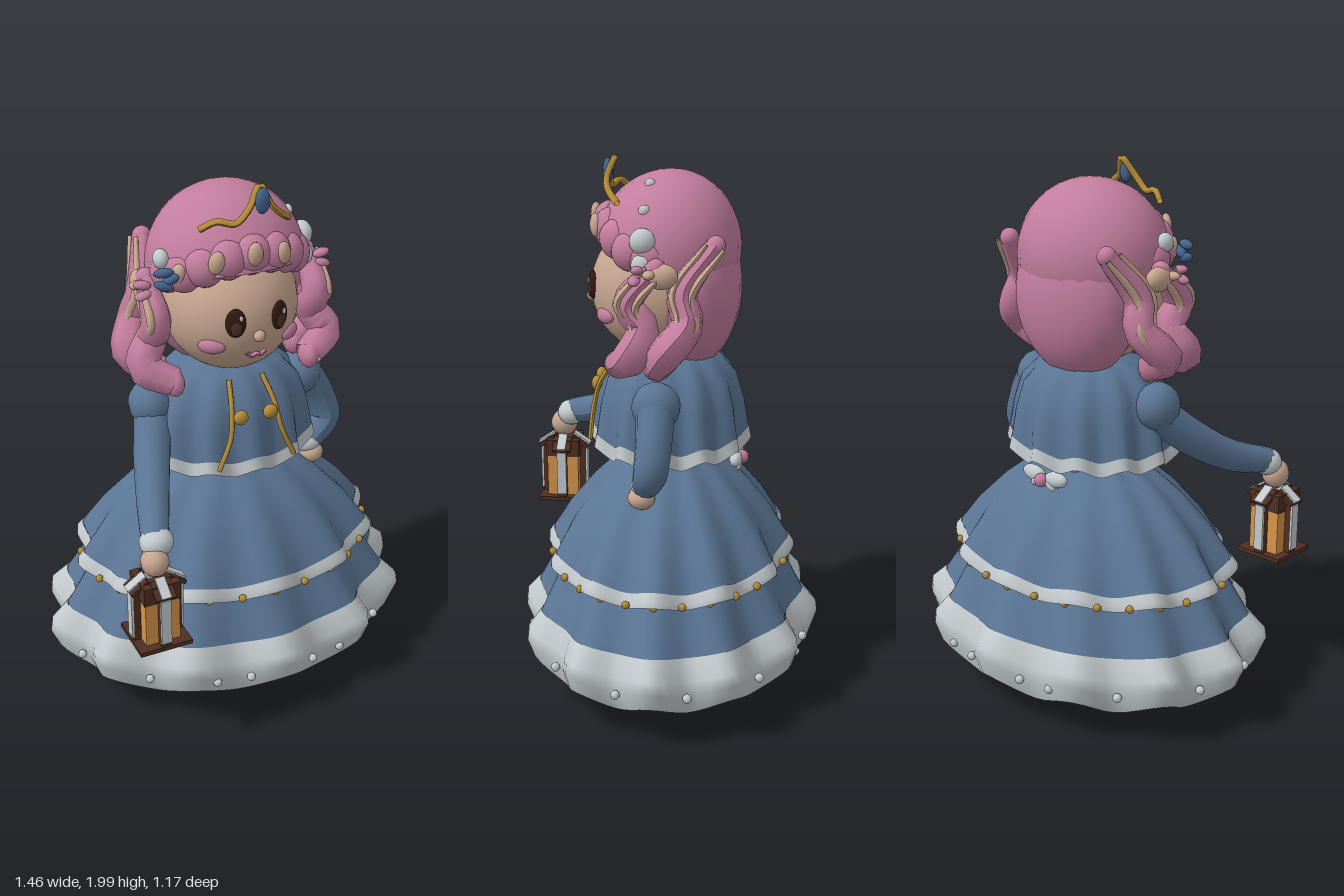
import * as THREE from 'three';

const mat = (name, color) => Object.assign(new THREE.MeshStandardMaterial({ color, side: THREE.DoubleSide }), { name });
const pink = mat('hair pink', 0xc27d9d), blue = mat('dress blue', 0x5a7594), white = mat('trim white', 0xc3cacd);
const gold = mat('gold', 0xb58d38), skin = mat('skin beige', 0xc7a690), brown = mat('lantern brown', 0x4f2f22);
const dark = mat('eye dark', 0x321a13), amber = mat('lantern amber', 0xd6944a), gem = mat('gem blue', 0x44638e);

const V = (p) => new THREE.Vector3(...p);
const DEG = Math.PI / 180;

function add(parent, name, geometry, material, pos = [0, 0, 0], rot = [0, 0, 0]) {
  const m = new THREE.Mesh(geometry, material);
  m.name = name;
  m.position.set(...pos);
  m.rotation.set(...rot);
  parent.add(m);
  return m;
}
function ball(parent, name, material, pos, size, rot, seg = 14) {
  const s = Array.isArray(size) ? size : [size, size, size];
  const m = add(parent, name, new THREE.SphereGeometry(1, seg, Math.max(6, Math.round(seg * 0.7))), material, pos, rot);
  m.scale.set(...s);
  return m;
}
// Tube along points whose thickness follows a list of radii
function limb(parent, name, material, points, radii, sides = 8, steps = 18) {
  const curve = new THREE.CatmullRomCurve3(points.map(V));
  const geo = new THREE.TubeGeometry(curve, steps, 1, sides);
  const pos = geo.attributes.position, v = new THREE.Vector3();
  for (let i = 0; i <= steps; i++) {
    const c = curve.getPointAt(i / steps), f = (i / steps) * (radii.length - 1);
    const k = Math.min(Math.floor(f), radii.length - 2);
    const r = THREE.MathUtils.lerp(radii[k], radii[k + 1], f - k);
    for (let j = 0; j <= sides; j++) {
      const n = i * (sides + 1) + j;
      v.fromBufferAttribute(pos, n).sub(c).multiplyScalar(r).add(c);
      pos.setXYZ(n, v.x, v.y, v.z);
    }
  }
  geo.computeVertexNormals();
  return add(parent, name, geo, material);
}
// Point on rippled cloth: row = [radius, height, radius ripple, height ripple]
function ripplePoint([r, y, amp, lift], a, depth) {
  const w = Math.cos(12 * a);
  return [(r + amp * w) * Math.sin(a), y + lift * w, (r + amp * w) * Math.cos(a) * depth - 0.02];
}
function cloth(parent, name, material, rows, depth, n = 96) {
  const pos = [], idx = [];
  rows.forEach((row, i) => {
    for (let j = 0; j < n; j++) {
      pos.push(...ripplePoint(row, (j / n) * Math.PI * 2, depth));
      if (i === rows.length - 1) continue;
      const a = i * n + j, d = i * n + ((j + 1) % n);
      idx.push(a, a + n, d + n, a, d + n, d);
    }
  });
  const geo = new THREE.BufferGeometry();
  geo.setAttribute('position', new THREE.Float32BufferAttribute(pos, 3));
  geo.setIndex(idx);
  geo.computeVertexNormals();
  return add(parent, name, geo, material);
}
function part(parent, name) {
  const g = new THREE.Group();
  g.name = name;
  parent.add(g);
  return g;
}

function buildDress(root) {
  const g = part(root, 'dress'), D = 0.78;
  cloth(g, 'lowerSkirt', blue, [[0.47, 0.6, 0.015, 0], [0.53, 0.5, 0.018, 0], [0.59, 0.4, 0.022, 0.005], [0.63, 0.33, 0.026, 0.012]], D);
  cloth(g, 'hemRuffle', white, [[0.632, 0.335, 0.026, 0.012], [0.685, 0.27, 0.04, 0.02], [0.692, 0.22, 0.04, 0.028], [0.66, 0.143, 0.04, 0.03]], D);
  cloth(g, 'upperSkirt', blue, [[0.2, 0.9, 0.004, 0], [0.275, 0.85, 0.008, 0], [0.36, 0.785, 0.012, 0], [0.475, 0.67, 0.018, 0], [0.555, 0.545, 0.024, 0.018]], D);
  cloth(g, 'upperRuffle', white, [[0.557, 0.548, 0.024, 0.018], [0.577, 0.52, 0.028, 0.018], [0.58, 0.5, 0.028, 0.018]], D);
  add(g, 'bodice', new THREE.CylinderGeometry(0.19, 0.2, 0.36, 20), blue, [0, 1.05, -0.02]).scale.z = 0.85;
  cloth(g, 'cape', blue, [[0.1, 1.3, 0, 0], [0.2, 1.278, 0.004, 0], [0.275, 1.2, 0.01, 0], [0.305, 1.1, 0.014, 0], [0.322, 0.98, 0.018, 0.015]], 0.86);
  cloth(g, 'capeTrim', white, [[0.324, 0.982, 0.018, 0.015], [0.332, 0.932, 0.02, 0.018]], 0.86);

  // Beads on even rings, half sunk where the ruffles swell
  for (let i = 0; i < 28; i++)
    ball(g, 'goldBead', gold, ripplePoint([0.575, 0.505, 0, 0], (i / 28) * Math.PI * 2, D), 0.015, undefined, 8);
  for (const d of [76, 45, 22, 11])
    for (const a of [d, -d, 180 - d, d - 180])
      ball(g, 'pearl', white, ripplePoint([0.685, 0.2, 0.012, 0], a * DEG, D), 0.017, undefined, 8);

  // Gold cords and buttons on the chest
  for (const s of [-1, 1]) {
    limb(g, 'goldCord', gold, [[s * 0.065, 1.27, 0.16], [s * 0.085, 1.18, 0.228], [s * 0.1, 1.09, 0.253], [s * 0.15, 0.97, 0.262]], [0.01, 0.01], 6);
    ball(g, 'goldButton', gold, [s * 0.058, 1.16, 0.248], [0.028, 0.028, 0.02]);
  }

  // Bow at the back of the waist
  for (const s of [-1, 1]) {
    ball(g, 'bowLoop', white, [s * 0.055, 0.88, -0.27], [0.055, 0.03, 0.025], [0, 0, s * 0.1]);
    ball(g, 'bowTail', white, [s * 0.035, 0.86, -0.28], [0.018, 0.03, 0.014], [0, 0, s * 0.8]);
  }
  ball(g, 'bowKnot', pink, [0, 0.87, -0.29], 0.026);
}

function buildLegs(root) {
  const g = part(root, 'legs');
  add(g, 'base', new THREE.CylinderGeometry(0.385, 0.385, 0.018, 14), [white, skin, skin], [0, 0.01, 0.015]).scale.z = 0.84;
  for (const s of [-1, 1]) {
    ball(g, 'shoe', blue, [s * 0.105, 0.07, 0.04], [0.082, 0.053, 0.13]);
    add(g, 'sock', new THREE.CylinderGeometry(0.062, 0.054, 0.24, 14), blue, [s * 0.085, 0.18, -0.01]);
    add(g, 'sockCuff', new THREE.TorusGeometry(0.056, 0.022, 8, 16), skin, [s * 0.085, 0.3, -0.01], [Math.PI / 2, 0, 0]);
    add(g, 'stocking', new THREE.CylinderGeometry(0.065, 0.055, 0.4, 14), white, [s * 0.085, 0.5, -0.01]);
  }
}

function buildArms(root) {
  const g = part(root, 'arms');
  for (const s of [-1, 1]) ball(g, 'puffSleeve', blue, [s * 0.305, 1.155, 0], [0.08, 0.088, 0.088]);
  limb(g, 'rightSleeve', blue, [[-0.3, 1.12, 0.01], [-0.36, 1.01, 0.14], [-0.42, 0.92, 0.29], [-0.475, 0.872, 0.44]], [0.07, 0.068, 0.06, 0.05], 12);
  ball(g, 'rightCuff', white, [-0.47, 0.868, 0.44], [0.062, 0.052, 0.057]);
  ball(g, 'rightHand', skin, [-0.492, 0.815, 0.475], [0.05, 0.055, 0.055]);
  limb(g, 'leftSleeve', blue, [[0.32, 1.15, 0], [0.385, 1.04, 0], [0.41, 0.94, 0.01], [0.33, 0.865, 0.035]], [0.07, 0.065, 0.062, 0.05], 12);
  ball(g, 'leftCuff', white, [0.322, 0.865, 0.035], [0.058, 0.042, 0.055]);
  ball(g, 'leftHand', skin, [0.335, 0.82, 0.05], [0.05, 0.042, 0.05]);
}

function buildLantern(root) {
  const g = part(root, 'lantern');
  g.position.set(-0.493, 0, 0.475);
  const box = (parent, name, m, size, pos, rot) => add(parent, name, new THREE.BoxGeometry(...size), m, pos, rot);
  box(g, 'lanternBase', brown, [0.195, 0.016, 0.195], [0, 0.508, 0]);
  box(g, 'lanternGlass', amber, [0.128, 0.17, 0.128], [0, 0.6, 0]);
  box(g, 'lanternTop', brown, [0.135, 0.07, 0.135], [0, 0.72, 0]);
  // A post, a sloping eave and metal straps on each of the four sides
  for (let i = 0; i < 4; i++) {
    const side = part(g, 'lanternSide');
    side.rotation.y = i * Math.PI / 2;
    box(side, 'lanternPost', brown, [0.036, 0.2, 0.03], [0, 0.615, 0.076]);
    box(side, 'lanternEave', brown, [0.075, 0.014, 0.075], [0, 0.74, 0.07], [0.6, 0, 0]);
    box(side, 'strapSide', white, [0.038, 0.18, 0.008], [0, 0.62, 0.094]);
    box(side, 'strapRoof', white, [0.036, 0.009, 0.08], [0, 0.75, 0.073], [0.6, 0, 0]);
  }
  add(g, 'lanternHandle', new THREE.TorusGeometry(0.03, 0.01, 6, 14), white, [0, 0.775, 0]);
}

function buildHead(root) {
  const g = part(root, 'head');
  add(g, 'neck', new THREE.CylinderGeometry(0.08, 0.09, 0.12, 14), skin, [0, 1.28, 0]);
  ball(g, 'face', skin, [0, 1.52, 0.02], [0.245, 0.25, 0.25], undefined, 32);
  ball(g, 'nose', skin, [0, 1.48, 0.268], 0.022);
  limb(g, 'mouth', pink, [[-0.036, 1.41, 0.243], [-0.017, 1.396, 0.243], [0, 1.404, 0.248], [0.017, 1.396, 0.243], [0.036, 1.41, 0.243]], [0.008, 0.008], 6);
  for (const s of [-1, 1]) {
    const t = [0, s * 0.35, 0];
    ball(g, 'eye', dark, [s * 0.083, 1.537, 0.253], [0.036, 0.054, 0.015], t);
    ball(g, 'iris', brown, [s * 0.085, 1.52, 0.264], [0.02, 0.028, 0.007], t);
    ball(g, 'eyeGlint', white, [s * 0.083 + 0.012, 1.556, 0.267], [0.009, 0.012, 0.004], t, 8);
    ball(g, 'cheek', pink, [s * 0.15, 1.44, 0.2], [0.05, 0.028, 0.022], [0, s * 0.65, 0]);
  }
}

function buildHair(root) {
  const g = part(root, 'hair');
  // Crown tipped back so its edge rises over the forehead
  const cap = add(g, 'hairCap', new THREE.SphereGeometry(1, 24, 12, 0, Math.PI * 2, 0, Math.PI * 0.52), pink, [0, 1.66, -0.01], [-0.25, 0, 0]);
  cap.scale.set(0.29, 0.285, 0.265);
  ball(g, 'backHair', pink, [0, 1.53, -0.1], [0.26, 0.3, 0.18], undefined, 24);
  // Fringe of rounded curls with pale highlights
  for (let i = -4; i <= 4; i++) {
    const a = i * 20 * DEG;
    ball(g, 'fringeCurl', pink, [0.245 * Math.sin(a), 1.757 - 0.09 * Math.sin(a) ** 2, 0.2 * Math.cos(a)], [0.072, 0.072, 0.06], [0, a, -a * 0.3]);
  }
  for (const [x, y, z] of [[-0.245, 1.7, 0.135], [-0.14, 1.757, 0.222], [-0.01, 1.778, 0.252], [0.105, 1.757, 0.237]])
    ball(g, 'fringeHighlight', skin, [x, y, z], [0.028, 0.042, 0.02], [0, Math.atan2(x, z), x * 1.5]);

  // Wavy side locks with pale edge stripes and small ties
  for (const s of [-1, 1]) {
    const back = [[0.24, 1.72, -0.2], [0.29, 1.56, -0.09], [0.315, 1.46, -0.11], [0.365, 1.355, -0.03], [0.27, 1.29, 0]];
    const front = [[0.31, 1.65, 0], [0.31, 1.52, 0.1], [0.31, 1.44, 0.045], [0.36, 1.35, 0.08], [0.265, 1.295, 0.135]];
    for (const path of [back, front]) {
      const pts = path.map(([x, y, z]) => [s * x, y, z]);
      limb(g, 'sideLock', pink, pts, [0.035, 0.052, 0.058, 0.064, 0.054], 7);
      ball(g, 'lockRoot', pink, pts[0], 0.035);
      ball(g, 'lockTip', pink, pts[4], [0.035, 0.052, 0.052]);
      for (const dz of [-0.03, 0.03])
        limb(g, 'lockStripe', skin, path.slice(0, 4).map(([x, y, z]) => [s * (x + 0.033), y + dz * 0.3, z + dz]), [0.008, 0.016, 0.016, 0.008], 6);
    }
    ball(g, 'lockTie', skin, [s * 0.32, 1.625, -0.02], [0.035, 0.045, 0.06]);
    for (const [dy, dz] of [[0.015, 0.06], [-0.02, 0.07], [0, 0.02]])
      ball(g, 'tieBead', dz > 0.05 ? pink : skin, [s * 0.345, 1.635 + dy, dz], [0.033, 0.016, 0.022], [0, 0, s * dy * 12]);
  }

  // Pearls and a blue blossom
  for (const [x, y, z, r] of [[0.27, 1.735, 0.05, 0.046], [0.28, 1.655, 0.05, 0.04], [-0.275, 1.735, 0.06, 0.035], [0.212, 1.83, 0.05, 0.021], [0.115, 1.907, 0.04, 0.02]])
    ball(g, 'hairPearl', white, [x, y, z], [r * 0.8, r, r]);
  for (const [x, y, tilt] of [[-0.3, 1.72, 0.1], [-0.275, 1.69, 0.5], [-0.3, 1.672, -0.3]])
    ball(g, 'bluePetal', gem, [x, y, 0.145], [0.036, 0.017, 0.018], [0, -0.3, tilt], 10);

  // Tiara with its gem
  limb(g, 'tiara', gold, [[-0.17, 1.855, 0.15], [-0.12, 1.885, 0.18], [-0.06, 1.875, 0.2], [-0.01, 1.92, 0.2], [0.04, 1.987, 0.175],
    [0.075, 1.92, 0.2], [0.11, 1.885, 0.19], [0.165, 1.845, 0.15]], [0.012, 0.012], 6, 32);
  ball(g, 'tiaraGem', gem, [0.04, 1.94, 0.2], [0.028, 0.046, 0.018]);
}

export function createModel() {
  const root = new THREE.Group();
  root.name = 'dollWithLantern';
  for (const build of [buildDress, buildLegs, buildArms, buildLantern, buildHead, buildHair]) build(root);
  return root;
}
